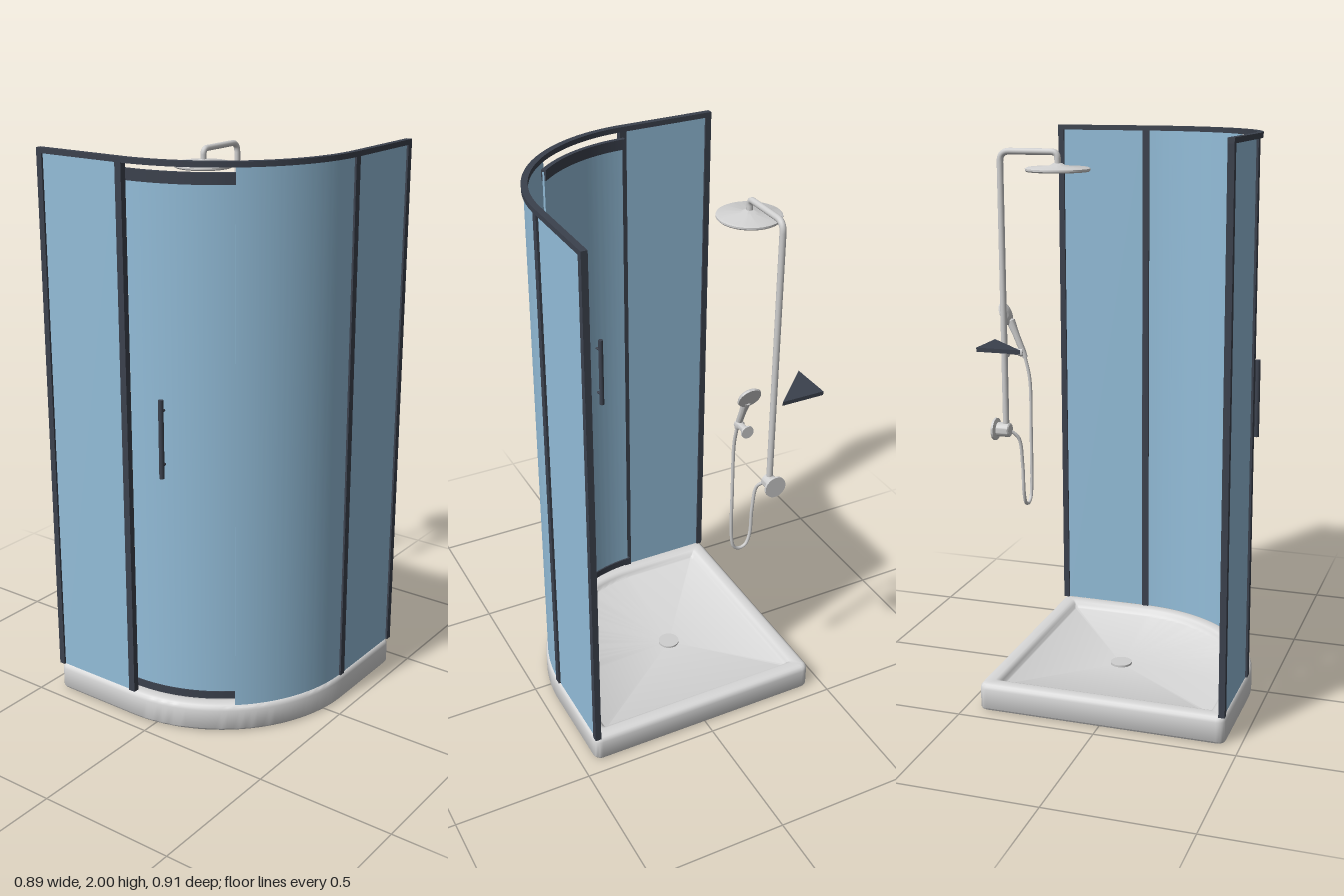
import * as THREE from 'three';
import { toCreasedNormals } from 'three/addons/utils/BufferGeometryUtils.js';

const mat = (name, color) => {
  const m = new THREE.MeshStandardMaterial({ color });
  m.name = name;
  return m;
};

export function createModel() {
  const white = mat('trayWhite', 0xd9d9d9);
  const chrome = mat('chromeGrey', 0xcfcfcf);
  const glass = mat('blueGlass', 0x93bdd9);
  const dark = mat('darkFrame', 0x3b414d);

  const model = new THREE.Group();
  model.name = 'showerCubicle';
  const group = (name) => {
    const g = new THREE.Group();
    g.name = name;
    model.add(g);
    return g;
  };
  const add = (parent, name, geo, material, x = 0, y = 0, z = 0) => {
    const m = new THREE.Mesh(geo, material);
    m.name = name;
    m.position.set(x, y, z);
    parent.add(m);
    return m;
  };

  // Centre of the big rounded corner, in x and z, and half the plan width
  const C = -0.1, H = 0.447, R = H - C;

  // Plan outline of the tray, moved inwards by d
  const outline = (d) => {
    const pts = [], h = H - d;
    const arc = (cx, cz, r, a0, a1, n) => {
      for (let i = 0; i <= n; i++) {
        const a = a0 + (a1 - a0) * i / n;
        pts.push([cx + r * Math.cos(a), cz + r * Math.sin(a)]);
      }
    };
    const r = Math.max(0.03 - d, 0.012), q = Math.PI / 2;
    arc(C, C, R - d, 0, q, 40);
    arc(-h + r, h - r, r, q, 2 * q, 6);
    arc(-h + r, -h + r, r, 2 * q, 3 * q, 6);
    arc(h - r, -h + r, r, 3 * q, 4 * q, 6);
    return pts;
  };

  // Tray: loops from the underside, over the rim and down to the drain
  const drain = [-0.05, -0.045];
  const loops = [
    [0.012, 0], [0.004, 0.003], [0, 0.01], [0, 0.08], [0.003, 0.09], [0.009, 0.097], [0.018, 0.1],
    [0.045, 0.1], [0.054, 0.097], [0.061, 0.088], [0.066, 0.077], [0.071, 0.074],
  ];
  const pos = [], idx = [];
  loops.forEach(([d, y]) => outline(d).forEach(([x, z]) => pos.push(x, y, z)));
  const n = outline(0).length, last = (loops.length - 1) * n;
  for (let k = 0; k < loops.length - 1; k++) {
    for (let i = 0; i < n; i++) {
      const a = k * n + i, b = k * n + (i + 1) % n;
      idx.push(a, a + n, b, b, a + n, b + n);
    }
  }
  const top = pos.length / 3;
  pos.push(drain[0], 0.06, drain[1], 0, 0, 0);
  for (let i = 0; i < n; i++) {
    const j = (i + 1) % n;
    idx.push(last + i, top, last + j, i, j, top + 1);
  }
  const trayGeo = new THREE.BufferGeometry();
  trayGeo.setAttribute('position', new THREE.Float32BufferAttribute(pos, 3));
  trayGeo.setIndex(idx);
  const tray = group('tray');
  add(tray, 'trayBody', toCreasedNormals(trayGeo, 0.7), white);
  add(tray, 'drainCover', new THREE.CylinderGeometry(0.039, 0.039, 0.01, 32), chrome, drain[0], 0.064, drain[1]);

  // Upright extrusion of a plan shape (shape y is model z)
  const upright = (shape, y0, y1) => {
    const g = new THREE.ExtrudeGeometry(shape, { depth: y1 - y0, bevelEnabled: false, curveSegments: 28 });
    g.rotateX(Math.PI / 2).translate(0, y1, 0);
    return toCreasedNormals(g, 0.5);
  };
  const rad = Math.PI / 180;
  const curved = (r0, r1, a0, a1, y0, y1) => {
    const s = new THREE.Shape();
    s.absarc(C, C, r1, a0 * rad, a1 * rad, false);
    s.absarc(C, C, r0, a1 * rad, a0 * rad, true);
    return upright(s, y0, y1);
  };

  // Top rail along both straight sides and the curve
  const frame = group('frame');
  const t = H - 0.022;
  const rail = new THREE.Shape();
  rail.moveTo(-H, H);
  rail.lineTo(C, H);
  rail.absarc(C, C, R, Math.PI / 2, 0, true);
  rail.lineTo(H, -H);
  rail.lineTo(t, -H);
  rail.lineTo(t, C);
  rail.absarc(C, C, t - C, 0, Math.PI / 2, false);
  rail.lineTo(-H, t);
  add(frame, 'topRail', upright(rail, 1.982, 2), dark);

  // Posts and straight glass panels, the same on the front and the right side
  const panels = group('fixedPanels');
  const mid = H - 0.011, postY = (0.1 + 1.982) / 2, postH = 1.882;
  for (const side of ['front', 'side']) {
    const put = (parent, name, w, depth, u, material) => (side === 'front'
      ? add(parent, side + name, new THREE.BoxGeometry(w, postH, depth), material, u, postY, mid)
      : add(parent, side + name, new THREE.BoxGeometry(depth, postH, w), material, mid, postY, u));
    put(frame, 'WallPost', 0.022, 0.022, -H + 0.011, dark);
    put(frame, 'DoorPost', 0.025, 0.022, C, dark);
    put(panels, 'Glass', 0.31, 0.008, -0.27, glass);
  }
  add(panels, 'curvedGlass', curved(R - 0.015, R - 0.007, 1, 48.8, 0.1, 1.982), glass);

  // Sliding curved door with rails and a handle on each face
  const door = group('door');
  add(door, 'doorGlass', curved(0.514, 0.521, 45, 89, 0.125, 1.955), glass);
  add(door, 'doorTopRail', curved(0.508, 0.525, 45, 90, 1.925, 1.962), dark);
  add(door, 'doorBottomRail', curved(0.508, 0.525, 45, 90, 0.118, 0.146), dark);
  const ca = Math.cos(75 * rad), sa = Math.sin(75 * rad);
  for (const r of [0.49, 0.546]) {
    add(door, 'handle', new THREE.CylinderGeometry(0.009, 0.009, 0.275, 16), dark, C + r * ca, 1.085, C + r * sa);
  }
  for (const y of [0.99, 1.18]) {
    const pin = add(door, 'handlePin', new THREE.CylinderGeometry(0.005, 0.005, 0.056, 10), dark,
      C + 0.518 * ca, y, C + 0.518 * sa);
    pin.quaternion.setFromUnitVectors(new THREE.Vector3(0, 1, 0), new THREE.Vector3(ca, 0, sa));
  }

  // Corner shelf
  const shelf = new THREE.Shape([[-0.428, -0.425], [-0.27, -0.425], [-0.428, -0.268]]
    .map(([x, z]) => new THREE.Vector2(x, z)));
  add(model, 'cornerShelf', upright(shelf, 1.29, 1.304), dark);

  // Rain shower: riser with bent arm, drop pipe and round head
  const shower = group('shower');
  const v = (x, y, z) => new THREE.Vector3(x, y, z);
  const X = -0.25, Z = -0.4, HZ = -0.195, armY = 1.937;
  const pipe = new THREE.CurvePath();
  pipe.add(new THREE.LineCurve3(v(X, 0.975, Z), v(X, armY - 0.035, Z)));
  pipe.add(new THREE.QuadraticBezierCurve3(v(X, armY - 0.035, Z), v(X, armY, Z), v(X, armY, Z + 0.035)));
  pipe.add(new THREE.LineCurve3(v(X, armY, Z + 0.035), v(X, armY, HZ - 0.02)));
  pipe.add(new THREE.QuadraticBezierCurve3(v(X, armY, HZ - 0.02), v(X, armY, HZ), v(X, armY - 0.02, HZ)));
  pipe.add(new THREE.LineCurve3(v(X, armY - 0.02, HZ), v(X, 1.885, HZ)));
  add(shower, 'riserPipe', new THREE.TubeGeometry(pipe, 150, 0.011, 14), chrome);
  const lathe = (pts, seg = 40) => toCreasedNormals(
    new THREE.LatheGeometry(pts.map(([x, y]) => new THREE.Vector2(x, y)), seg), 0.6);
  add(shower, 'rainHead', lathe([[0, -0.009], [0.104, -0.009], [0.108, -0.005], [0.108, 0.001],
    [0.1, 0.005], [0.03, 0.009], [0.014, 0.018], [0, 0.018]], 48), chrome, X, 1.883, HZ);

  // Mixer valve against the wall
  const valve = add(shower, 'mixerValve', lathe([[0, 0], [0.039, 0], [0.039, 0.008], [0.025, 0.013],
    [0.025, 0.055], [0.021, 0.059], [0, 0.059]]), chrome, X, 0.98, -0.443);
  valve.rotation.x = Math.PI / 2;

  // Hand shower: tapered handle and disc head, leaning back on a wall holder
  const hand = group('handShower');
  const lean = new THREE.Group();
  lean.name = 'handSet';
  lean.position.set(-0.13, 1.215, -0.372);
  lean.rotation.x = -0.39;
  hand.add(lean);
  add(lean, 'handGrip', lathe([[0, 0], [0.009, 0], [0.011, 0.02], [0.012, 0.09], [0.016, 0.14], [0, 0.15]], 20), chrome);
  const head = add(lean, 'handHead', lathe([[0, -0.008], [0.02, -0.008], [0.037, 0], [0.042, 0.006],
    [0.04, 0.012], [0, 0.012]]), chrome, 0, 0.168, 0);
  head.rotation.x = -Math.PI / 2;
  const holder = add(hand, 'wallHolder', lathe([[0, 0], [0.022, 0], [0.022, 0.007], [0.012, 0.01],
    [0.012, 0.045], [0.016, 0.05], [0.016, 0.066], [0, 0.066]], 24), chrome, -0.13, 1.235, -0.443);
  holder.rotation.x = Math.PI / 2;

  // Hose hanging in a loop from the valve to the grip
  const hose = new THREE.CatmullRomCurve3([
    v(-0.236, 0.975, -0.39), v(-0.222, 0.945, -0.365), v(-0.212, 0.85, -0.357), v(-0.208, 0.74, -0.355),
    v(-0.192, 0.7, -0.355), v(-0.168, 0.692, -0.355), v(-0.146, 0.705, -0.355), v(-0.135, 0.75, -0.355),
    v(-0.131, 0.95, -0.355), v(-0.13, 1.14, -0.357), v(-0.13, 1.218, -0.373),
  ]);
  add(hand, 'hose', new THREE.TubeGeometry(hose, 90, 0.006, 10), chrome);

  return model;
}
